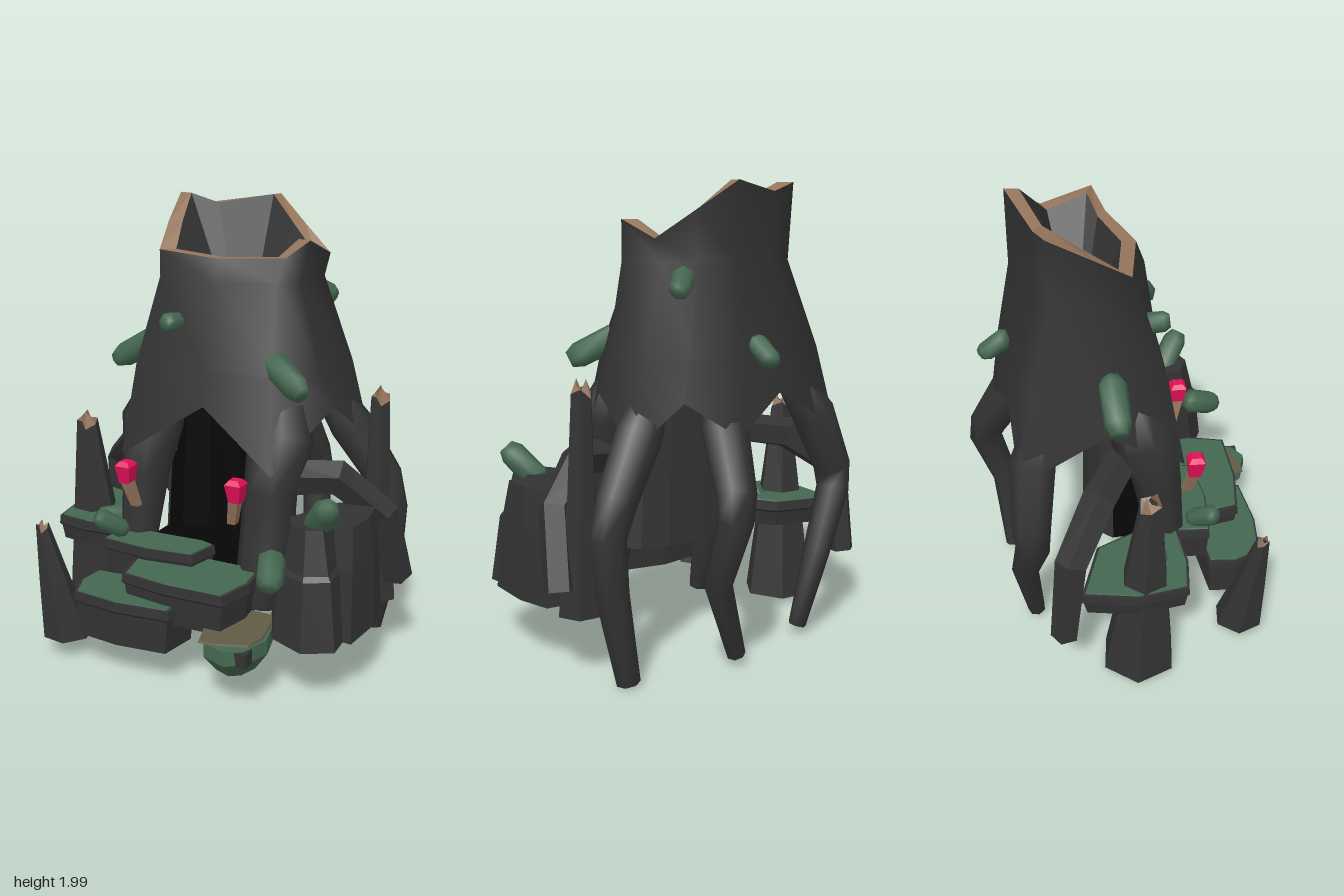
import * as THREE from 'three';

const V = (x, y, z) => new THREE.Vector3(x, y, z);

export function createModel() {
  const model = new THREE.Group();
  const mat = (name, color) => {
    const m = new THREE.MeshStandardMaterial({ color, side: THREE.DoubleSide });
    m.name = name;
    return m;
  };
  const bark = mat('charcoal bark', 0x333333);
  const black = mat('cave black', 0x060606);
  const moss = mat('moss green', 0x43664f);
  const wood = mat('broken wood', 0x95745b);
  const flame = mat('pink flame', 0xe2105a);
  const olive = mat('olive soil', 0x5f5b45);

  const add = (name, geo, material) => {
    const m = new THREE.Mesh(geo, material);
    m.name = name;
    model.add(m);
    return m;
  };

  // Skin a list of equal-length closed rings, with optional fan caps
  function loft(name, rings, material, { flat = true, start = true, end = true } = {}) {
    const n = rings[0].length, pos = [], idx = [];
    rings.forEach(r => r.forEach(p => pos.push(p.x, p.y, p.z)));
    for (let k = 0; k < rings.length - 1; k++)
      for (let i = 0; i < n; i++) {
        const a = k * n + i, b = k * n + (i + 1) % n;
        idx.push(a, b, a + n, b, b + n, a + n);
      }
    const cap = (k, flip) => {
      const c = rings[k].reduce((s, p) => s.add(p), V(0, 0, 0)).divideScalar(n);
      const ci = pos.length / 3;
      pos.push(c.x, c.y, c.z);
      for (let i = 0; i < n; i++) {
        const a = k * n + i, b = k * n + (i + 1) % n;
        flip ? idx.push(b, a, ci) : idx.push(a, b, ci);
      }
    };
    if (start) cap(0, true);
    if (end) cap(rings.length - 1, false);
    let g = new THREE.BufferGeometry();
    g.setAttribute('position', new THREE.Float32BufferAttribute(pos, 3));
    g.setIndex(idx);
    if (flat) g = g.toNonIndexed();
    g.computeVertexNormals();
    return add(name, g, material);
  }

  // Horizontal polygon ring scaled about its middle
  const flatRing = (pts, s, y) => {
    const cx = pts.reduce((t, p) => t + p[0], 0) / pts.length;
    const cz = pts.reduce((t, p) => t + p[1], 0) / pts.length;
    return pts.map(p => V(cx + (p[0] - cx) * s, y, cz + (p[1] - cz) * s));
  };
  const oval = (x, y, z, rx, rz, n = 6, turn = 0) => Array.from({ length: n }, (_, i) => {
    const a = turn + i / n * Math.PI * 2;
    return V(x + Math.sin(a) * rx, y, z + Math.cos(a) * rz);
  });

  // Tapered limb following a few points
  function limb(name, pts, radii, sides = 7, flat = false) {
    const p = pts.map(q => V(...q));
    const rings = p.map((c, i) => {
      const d = p[Math.min(i + 1, p.length - 1)].clone().sub(p[Math.max(i - 1, 0)]).normalize();
      const q = new THREE.Quaternion().setFromUnitVectors(V(0, -1, 0), d);
      return oval(0, 0, 0, radii[i], radii[i], sides, Math.PI / sides).map(v => v.applyQuaternion(q).add(c));
    });
    return loft(name, rings, bark, { flat });
  }

  // Trunk: scalloped hem, body, jagged rim
  const hem = [V(0, 1.15, 0.2), V(0.34, 0.9, 0.24), V(0.48, 1.14, -0.08), V(0.54, 0.95, -0.38), V(0.34, 1.13, -0.46),
    V(0.13, 0.98, -0.56), V(-0.15, 1.13, -0.49), V(-0.52, 0.95, -0.46), V(-0.48, 1.14, -0.1), V(-0.39, 0.9, 0.24)];
  const rim = [V(0, 1.765, 0.07), V(0.27, 1.77, -0.03), V(0.36, 1.845, -0.08), V(0.36, 1.77, -0.3), V(0.21, 1.88, -0.37),
    V(0.05, 2, -0.45), V(-0.24, 1.96, -0.35), V(-0.39, 2, -0.31), V(-0.355, 1.89, -0.14), V(-0.31, 1.78, 0.02)];
  const neck = rim.map(p => V(p.x * 0.93, 1.67, p.z + (p.z > -0.15 ? 0.035 : 0)));
  const waist = hem.map((p, i) => V(p.x * 0.6 + neck[i].x * 0.4, 1.3, p.z * 0.6 + neck[i].z * 0.4));
  loft('trunk', [hem, waist, neck, rim], bark, { flat: false, start: false, end: false });
  const inner = rim.map(p => V(p.x * 0.82, p.y, -0.19 + (p.z + 0.19) * 0.77));
  loft('brokenRim', [rim, inner], wood, { start: false, end: false });
  loft('trunkHollow', [inner, oval(0, 1.32, -0.18, 0.02, 0.02, 10)], bark, { start: false });

  // Legs and roots, narrow where they start inside the trunk
  limb('frontLeftLeg', [[0.27, 1.22, 0], [0.31, 1.02, 0.075], [0.29, 0.8, 0.13], [0.28, 0.55, 0.15], [0.28, 0.3, 0.2]], [0.1, 0.145, 0.12, 0.12, 0.12]);
  limb('frontRightLeg', [[-0.28, 1.22, 0], [-0.33, 1.02, 0.075], [-0.335, 0.8, 0.13], [-0.35, 0.5, 0.17], [-0.34, 0.06, 0.25]], [0.1, 0.145, 0.11, 0.085, 0.05]);
  limb('leftRoot', [[0.35, 1.2, -0.28], [0.47, 1, -0.33], [0.62, 0.76, -0.38], [0.66, 0.62, -0.38], [0.65, 0.4, -0.39], [0.58, 0.02, -0.4]], [0.07, 0.1, 0.085, 0.075, 0.07, 0.05]);
  limb('backRoot', [[0.1, 1.2, -0.35], [0.13, 1, -0.46], [0.18, 0.76, -0.59], [0.2, 0.66, -0.61], [0.22, 0.38, -0.53], [0.1, 0.05, -0.51]], [0.07, 0.1, 0.085, 0.075, 0.06, 0.04]);
  limb('rightRoot', [[-0.34, 1.2, -0.33], [-0.44, 1, -0.4], [-0.55, 0.75, -0.42], [-0.56, 0.65, -0.42], [-0.42, 0.38, -0.46], [-0.35, 0.05, -0.42]], [0.07, 0.1, 0.085, 0.075, 0.06, 0.04]);
  limb('leftBeam', [[0.3, 0.84, 0.06], [0.54, 0.86, -0.01], [0.72, 0.7, -0.1], [0.76, 0.38, -0.19]], [0.08, 0.08, 0.07, 0.07], 5, true);
  limb('rightBeam', [[-0.3, 0.9, 0], [-0.54, 0.86, -0.14], [-0.73, 0.7, -0.27], [-0.75, 0.3, -0.31]], [0.07, 0.075, 0.07, 0.06], 5, true);

  // Cave: shallow black recess with a charcoal back
  const shell = (name, r, depth, material) => {
    const g = new THREE.CylinderGeometry(r * 0.85, r, 0.75, 6, 1, true, Math.PI / 2, Math.PI).toNonIndexed();
    g.computeVertexNormals();
    const m = add(name, g, material);
    m.scale.z = depth / r;
    m.position.set(0, 0.825, -0.06);
  };
  shell('caveBack', 0.34, 0.11, bark);
  shell('caveLining', 0.33, 0.1, black);
  const floor = [[-0.34, 0.3], [0.3, 0.3], [0.3, -0.06], [0.15, -0.14], [-0.15, -0.14], [-0.34, -0.06]];
  loft('caveFloor', [flatRing(floor, 1, 0.455), flatRing(floor, 1, 0.463)], black);

  // Rock slabs with mossy tops, open underneath
  function slab(name, pts, y0, y1) {
    loft(name, [flatRing(pts, 0.9, y0), flatRing(pts, 0.95, y1 - 0.05), flatRing(pts, 1, y1 - 0.04), flatRing(pts, 0.98, y1)], bark, { start: false });
    loft(name + 'Moss', [flatRing(pts, 0.93, y1 + 0.001), flatRing(pts, 0.92, y1 + 0.006)], moss);
  }
  slab('upperStep', [[-0.42, 0.2], [0, 0.18], [0.06, 0.2], [0.03, 0.35], [-0.2, 0.38], [-0.43, 0.36]], 0.36, 0.53);
  slab('middleStep', [[-0.26, 0.36], [0, 0.32], [0.04, 0.22], [0.3, 0.22], [0.32, 0.38], [0.28, 0.55], [0, 0.56], [-0.22, 0.53]], 0.29, 0.47);
  slab('lowerStep', [[-0.46, 0.36], [-0.2, 0.33], [0.08, 0.4], [0.05, 0.59], [-0.2, 0.62], [-0.42, 0.6], [-0.47, 0.48]], 0.17, 0.37);
  slab('sideLedge', [[-0.76, -0.24], [-0.48, -0.15], [-0.36, 0.1], [-0.4, 0.22], [-0.6, 0.24], [-0.76, 0.22], [-0.8, 0]], 0.42, 0.535);

  // Boulders beside the entrance
  const frontRock = [[0.36, 0.26], [0.44, 0.42], [0.6, 0.49], [0.72, 0.42], [0.7, 0.12], [0.44, 0.08]];
  loft('frontBoulder', [flatRing(frontRock, 1, 0.27), flatRing(frontRock, 0.8, 0.56), flatRing(frontRock, 0.72, 0.58),
    flatRing(frontRock, 0.5, 0.76)], bark, { start: false });
  const sideRock = [[0.48, 0], [0.57, -0.09], [0.74, -0.06], [0.77, 0.1], [0.75, 0.32], [0.55, 0.3]];
  loft('sideBoulder', [flatRing(sideRock, 1, 0.27), flatRing(sideRock, 0.86, 0.58), flatRing(sideRock, 0.7, 0.75)], bark, { start: false });

  // Pointed stumps with broken tips
  function shard(name, base, tip, r, rTip) {
    const at = t => base.map((b, i) => b + (tip[i] - b) * t);
    const ring = (t, rad) => oval(...at(t), rad, rad, 6, 0.4);
    const slant = ring(0.94, rTip).map((p, i) => V(p.x, p.y + (i % 3 - 1) * 0.02, p.z));
    loft(name, [ring(0, r), ring(0.5, r * 0.62), slant], bark);
    const point = slant.map((p, i) => V(p.x * 0.5 + tip[0] * 0.5, tip[1] - (i % 3) * 0.025, p.z * 0.5 + tip[2] * 0.5));
    loft(name + 'Tip', [slant, point], wood, { start: false, end: false });
  }
  shard('rightShard', [-0.66, 0.04, 0.02], [-0.7, 1.01, 0.06], 0.17, 0.05);
  shard('smallShard', [-0.54, 0.1, 0.49], [-0.61, 0.65, 0.56], 0.11, 0.028);
  shard('leftShard', [0.66, 0.27, -0.19], [0.65, 1.23, -0.2], 0.1, 0.045);

  // Mossy mound with a soil top
  const mound = [[0.14, 0.46], [0.22, 0.28], [0.4, 0.28], [0.46, 0.5], [0.42, 0.63], [0.35, 0.68], [0.24, 0.64]];
  loft('mound', [flatRing(mound, 0.6, 0.16), flatRing(mound, 1, 0.24), flatRing(mound, 0.97, 0.3)], moss);
  const soil = [[0.15, 0.44], [0.23, 0.29], [0.4, 0.29], [0.44, 0.5], [0.42, 0.59], [0.3, 0.64], [0.22, 0.65]];
  loft('moundSoil', [flatRing(soil, 1, 0.301), flatRing(soil, 0.98, 0.31)], olive);
  add('moundStone', new THREE.BoxGeometry(0.08, 0.06, 0.06), bark).position.set(0.395, 0.265, 0.62);

  // Moss tufts: blunt capsules between two points
  function tuft(a, b, r) {
    const p = V(...a), d = V(...b).sub(p), q = new THREE.Quaternion().setFromUnitVectors(V(0, 1, 0), d.clone().normalize());
    const rings = [[0, 0.6], [0.15, 1], [0.82, 0.95], [1, 0.6]].map(([t, s]) =>
      oval(0, 0, 0, r * s, r * s, 7).map(v => v.applyQuaternion(q).addScaledVector(d, t).add(p)));
    loft('mossTuft', rings, moss, { flat: false });
  }
  [
    [[-0.38, 1.37, -0.07], [-0.6, 1.245, -0.06], 0.06],
    [[0.25, 1.36, 0.07], [0.45, 1.25, 0.18], 0.06],
    [[-0.18, 1.48, 0.06], [-0.19, 1.495, 0.19], 0.046],
    [[0.23, 1.63, -0.33], [0.34, 1.56, -0.42], 0.048],
    [[-0.02, 1.36, -0.47], [-0.02, 1.27, -0.59], 0.045],
    [[-0.6, 0.515, 0.14], [-0.5, 0.52, 0.02], 0.055],
    [[-0.44, 0.64, 0.38], [-0.35, 0.55, 0.28], 0.045],
    [[0.55, 0.71, 0.26], [0.66, 0.87, 0.37], 0.06],
    [[0.42, 0.62, 0.38], [0.48, 0.55, 0.54], 0.06],
  ].forEach(t => tuft(...t));

  // Torches flanking the entrance
  for (const [x, lean] of [[-0.33, 0.03], [0.21, -0.03]]) {
    loft('torchHandle', [oval(x + lean, 0.68, 0.27, 0.026, 0.026, 4, Math.PI / 4), oval(x, 0.81, 0.3, 0.034, 0.034, 4, Math.PI / 4)], wood);
    loft('torchFlame', [oval(x, 0.79, 0.295, 0.036, 0.036, 4, Math.PI / 4), oval(x, 0.87, 0.3, 0.052, 0.052, 4, Math.PI / 4),
      oval(x, 0.89, 0.3, 0.03, 0.03, 4, Math.PI / 4)], flame);
  }
  return model;
}
